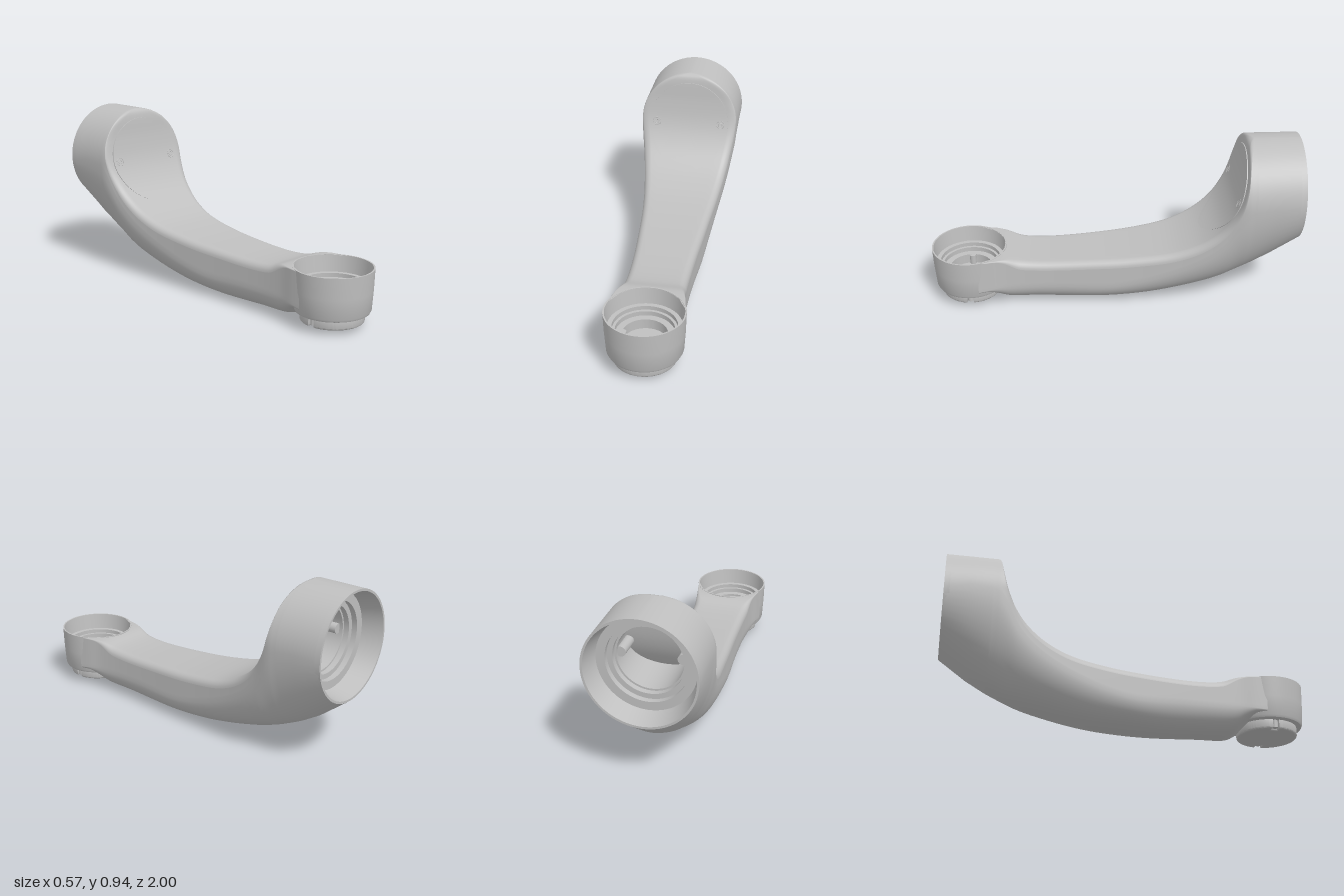
import * as THREE from 'three';
import { toCreasedNormals } from 'three/addons/utils/BufferGeometryUtils.js';

const metal = new THREE.MeshStandardMaterial({ color: 0xbfbfbf });
metal.name = 'plain grey';

const HUB_Y = 0.653, HUB_R = 0.287, HUB_TOP = HUB_Y + HUB_R, CUP_Z = 0.793;

// smooth curve through [u, v] pairs, returned as dense samples
const sample = (pairs, n) =>
  new THREE.CatmullRomCurve3(pairs.map(([u, v]) => new THREE.Vector3(u, v, 0))).getSpacedPoints(n).map(p => [p.x, p.y]);

// v as a function of u, for samples sorted by u in either direction
function lookup(samples) {
  const s = samples[0][0] < samples[samples.length - 1][0] ? samples : [...samples].reverse();
  return u => {
    let i = 1;
    while (i < s.length - 1 && s[i][0] < u) i++;
    const [u0, v0] = s[i - 1], [u1, v1] = s[i];
    const t = THREE.MathUtils.clamp((u - u0) / (u1 - u0 || 1), 0, 1);
    return v0 + (v1 - v0) * t;
  };
}

// side profile of the arm as [z, y], plus half width and widest height along z
const topLine = [...sample([[0.74, 0.31], [0.62, 0.31], [0.58, 0.306], [0.5, 0.285], [0.37, 0.276], [0.1, 0.286],
  [-0.1, 0.303], [-0.3, 0.337], [-0.4, 0.372], [-0.487, 0.42], [-0.57, 0.492], [-0.63, 0.578], [-0.668, 0.665],
  [-0.695, 0.78], [-0.71, 0.89], [-0.718, 0.92], [-0.728, 0.933], [-0.742, 0.939]], 150),
  [-0.75, HUB_TOP], [-0.85, HUB_TOP], [-1, HUB_TOP]];
const bottomAt = lookup(sample([[0.74, 0.1], [0.69, 0.09], [0.63, 0.05], [0.58, 0.021], [0.4, 0.01], [0.18, 0.002],
  [0, 0.007], [-0.2, 0.023], [-0.4, 0.06], [-0.6, 0.117], [-0.8, 0.214], [-0.93, 0.309], [-1, 0.366]], 200));
const widthAt = lookup(sample([[0.74, 0.194], [0.68, 0.186], [0.6, 0.171], [0.5, 0.164], [0.4, 0.163], [0.2, 0.17],
  [0, 0.184], [-0.2, 0.2], [-0.4, 0.224], [-0.6, 0.26], [-0.69, 0.284], [-0.75, 0.286], [-1, 0.286]], 200));
const middleAt = lookup(sample([[0.74, 0.12], [0.6, 0.14], [0.3, 0.15], [0, 0.15], [-0.3, 0.24], [-0.5, 0.35],
  [-0.6, 0.45], [-0.7, 0.62], [-0.78, HUB_Y], [-1, HUB_Y]], 200));
const faceZ = lookup(topLine.filter(([z]) => z < 0 && z > -0.74).map(([z, y]) => [y, z]));

// right half of one section, from the bottom centre to the top centre
function halfSection(z, top) {
  const b = bottomAt(z), w = widthAt(z), m = middleAt(z), pts = [];
  const power = 2 / (2 + 0.25 * THREE.MathUtils.smoothstep(z, -0.7, 0.1));
  const side = y => y <= HUB_Y ? w : w * Math.sqrt(Math.max(0, 1 - ((y - HUB_Y) / HUB_R) ** 2));
  for (let k = 0; k <= 14; k++) {
    const a = k / 14 * Math.PI / 2;
    pts.push([w * Math.sin(a) ** power, m - (m - b) * Math.max(0, Math.cos(a)) ** power]);
  }
  // the rounded top edge fades out where the arm meets the cup
  const round = 0.04 - 0.036 * THREE.MathUtils.smoothstep(z, 0.5, 0.66);
  const f = Math.min(round, side(top) * 0.3) + 1e-4, y0 = Math.max(m, top - f);
  for (let k = 1; k <= 14; k++) {
    const y = m + (y0 - m) * Math.sin(k / 14 * Math.PI / 2);
    pts.push([side(y), y]);
  }
  for (let k = 1; k <= 6; k++) {
    const a = k / 6 * Math.PI / 2, y = y0 + (top - y0) * Math.sin(a);
    pts.push([Math.max(0, side(y) - f * (1 - Math.cos(a))), y]);
  }
  const edge = pts[pts.length - 1][0];
  for (let k = 1; k <= 5; k++) pts.push([edge * (1 - k / 5), top]);
  return pts;
}

// grid of rings joined into a surface; rings are closed loops
function skin(rings) {
  const n = rings[0].length, index = [];
  for (let i = 0; i < rings.length - 1; i++) for (let j = 0; j < n; j++) {
    const a = i * n + j, b = i * n + (j + 1) % n;
    index.push(a, a + n, b + n, a, b + n, b);
  }
  const g = new THREE.BufferGeometry();
  g.setAttribute('position', new THREE.Float32BufferAttribute(rings.flat(2), 3));
  g.setIndex(index);
  g.computeVertexNormals();
  return g;
}

function armGeometry() {
  return skin(topLine.map(([z, top]) => {
    const half = halfSection(z, top);
    const loop = [...half, ...half.slice(1, -1).reverse().map(([x, y]) => [-x, y])];
    // the front end wraps around the wall of the cup
    return loop.map(([x, y]) => {
      const wall = CUP_Z - Math.sqrt(Math.max(0, 0.198 ** 2 - x * x));
      return [x, y, y > 0.1 ? Math.min(z, wall) : z];
    });
  }));
}

// disc that follows the hollow face of the hub, with a skirt; turn = -1 faces it backwards
function faceDisc(radius, offset, skirtZ, turn) {
  const ring = (r, zAt) => Array.from({ length: 72 }, (_, j) => {
    const a = turn * j / 72 * Math.PI * 2, y = HUB_Y + r * Math.sin(a);
    return [r * Math.cos(a), y, zAt(y)];
  });
  const rings = Array.from({ length: 15 }, (_, k) => ring(Math.max(0.0005, radius * k / 14), y => faceZ(y) + offset));
  return toCreasedNormals(skin([...rings, ring(radius, skirtZ)]), 0.7);
}

const lathe = pairs =>
  toCreasedNormals(new THREE.LatheGeometry(pairs.map(p => new THREE.Vector2(...p)), 72), 0.6);

// disc with a notch on each side
function notchedDisc() {
  const r = 0.154, a = 0.17, s = new THREE.Shape();
  const h = r * Math.sin(a);
  s.absarc(0, 0, r, a, Math.PI - a, false);
  s.lineTo(-0.115, h).lineTo(-0.115, -h);
  s.absarc(0, 0, r, Math.PI + a, Math.PI * 2 - a, false);
  s.lineTo(0.115, -h).lineTo(0.115, h);
  s.closePath();
  const g = new THREE.ExtrudeGeometry(s, {
    depth: 0.04, bevelThickness: 0.01, bevelSize: 0.01, bevelSegments: 3, curveSegments: 32,
  });
  return toCreasedNormals(g.rotateX(-Math.PI / 2), 0.6);
}

export function createModel() {
  const model = new THREE.Group();
  model.name = 'curvedArmLink';
  const add = (name, geometry, x = 0, y = 0, z = 0, parent = model) => {
    const mesh = new THREE.Mesh(geometry, metal);
    mesh.name = name;
    mesh.position.set(x, y, z);
    parent.add(mesh);
    return mesh;
  };

  add('arm', armGeometry());
  add('hubCover', faceDisc(0.235, 0.005, y => faceZ(y) - 0.01, 1));

  // stepped bore in the back of the hub, closed by the inside of the hollow face
  add('hubBore', lathe([[0.2865, 0.97], [0.2865, 1], [0.275, 1], [0.25, 0.89], [0.205, 0.89], [0.205, 0.86],
    [0.178, 0.86], [0.178, 0.83], [0.168, 0.83]]), 0, HUB_Y, 0).rotation.x = -Math.PI / 2;
  add('boreFloor', faceDisc(0.168, -0.02, () => -0.83, -1));

  // front cup with its stepped socket
  add('cup', lathe([[0, 0.08], [0.18, 0.08], [0.19, 0.084], [0.196, 0.096], [0.203, 0.2], [0.207, 0.312],
    [0.199, 0.312], [0.189, 0.222], [0.165, 0.222], [0.165, 0.2], [0.15, 0.2], [0.15, 0.175], [0.115, 0.175],
    [0.115, 0.12], [0, 0.12]]), 0, 0, CUP_Z);
  add('cupFoot', notchedDisc(), 0, 0.04, CUP_Z);

  const slope = (faceZ(HUB_Y + 0.03) - faceZ(HUB_Y - 0.03)) / 0.06;
  for (const s of [1, -1]) {
    // cover screws, flush with the hollow face
    const screw = new THREE.Group();
    screw.name = 'coverScrew';
    screw.position.set(s * 0.192, HUB_Y, faceZ(HUB_Y) + 0.005);
    screw.rotation.x = Math.atan(slope);
    model.add(screw);
    add('screwRim', new THREE.TorusGeometry(0.023, 0.002, 8, 32), 0, 0, 0, screw);
    add('screwSocket', new THREE.TorusGeometry(0.012, 0.002, 6, 6), 0, 0, 0, screw);

    // screw boss inside the bore
    add('boreBoss', new THREE.CylinderGeometry(0.027, 0.027, 0.12, 24), s * 0.155, HUB_Y, -0.75).rotation.x = Math.PI / 2;
    // foot screws and key tabs in the cup
    add('footScrew', new THREE.CylinderGeometry(0.016, 0.016, 0.045, 20), s * 0.142, 0.062, CUP_Z);
    add('cupTab', new THREE.CylinderGeometry(0.018, 0.018, 0.055, 20), s * 0.112, 0.147, CUP_Z);
  }
  return model;
}
